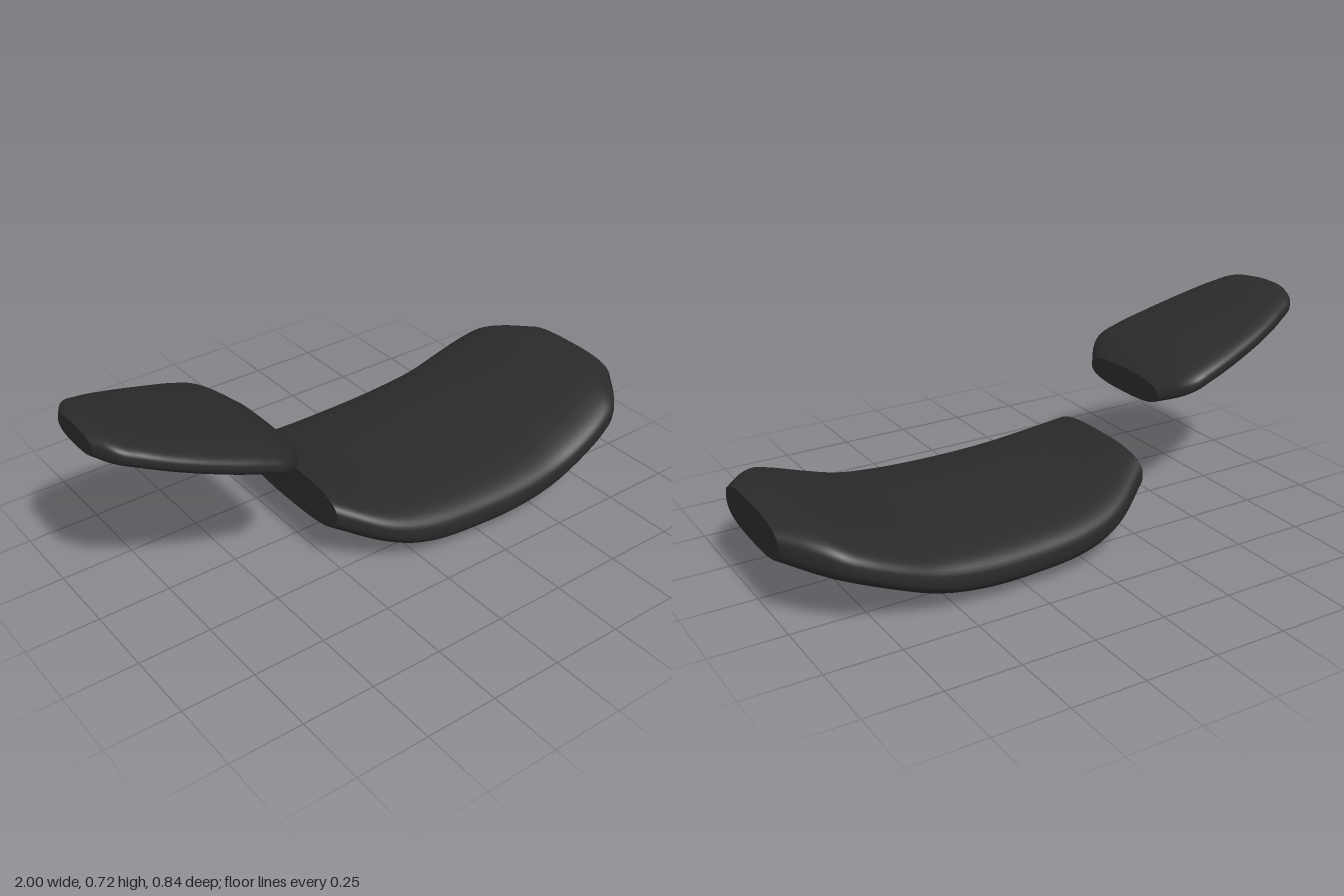
import * as THREE from 'three';

const SIDES = 72, STEPS = 56;

// Smooth pad lofted along x from stations [x, top, bottom, halfWidth]
function pad(stations, n) {
  const spline = new THREE.CubicInterpolant(
    stations.map(s => s[0]), stations.flatMap(s => s.slice(1)), 3, new Float32Array(3));
  const x0 = stations[0][0], x1 = stations[stations.length - 1][0];
  const power = v => Math.sign(v) * Math.abs(v) ** (2 / n);
  const pos = [], index = [];

  // Rounded cross-section at one x
  const ring = x => {
    const [top, bottom, width] = spline.evaluate(x);
    for (let j = 0; j < SIDES; j++) {
      const t = j / SIDES * Math.PI * 2;
      pos.push(x, (top + bottom) / 2 + power(Math.sin(t)) * (top - bottom) / 2, power(Math.cos(t)) * width);
    }
    return (top + bottom) / 2;
  };

  for (let i = 0; i <= STEPS; i++) {
    ring(x0 + (x1 - x0) * i / STEPS);
    if (i === STEPS) break;
    for (let j = 0; j < SIDES; j++) {
      const a = i * SIDES + j, c = i * SIDES + (j + 1) % SIDES;
      index.push(a, a + SIDES, c, a + SIDES, c + SIDES, c);
    }
  }

  // Flat end faces with their own vertices for crisp rims
  for (const [x, right] of [[x0, false], [x1, true]]) {
    const start = pos.length / 3;
    const y = ring(x), centre = start + SIDES;
    pos.push(x, y, 0);
    for (let j = 0; j < SIDES; j++) {
      const a = start + j, b = start + (j + 1) % SIDES;
      index.push(centre, right ? b : a, right ? a : b);
    }
  }

  const geometry = new THREE.BufferGeometry();
  geometry.setAttribute('position', new THREE.Float32BufferAttribute(pos, 3));
  geometry.setIndex(index);
  geometry.computeVertexNormals();
  return geometry;
}

export function createModel() {
  const group = new THREE.Group();
  const leather = new THREE.MeshStandardMaterial({ color: 0x2a2a2a });
  leather.name = 'black leather';

  const add = (name, geometry) => {
    const mesh = new THREE.Mesh(geometry, leather);
    mesh.name = name;
    group.add(mesh);
  };

  // Wide dished main seat
  add('mainSeat', pad([
    [-0.27, 0.29, 0.14, 0.26],
    [-0.13, 0.235, 0.07, 0.35],
    [0, 0.21, 0.023, 0.39],
    [0.25, 0.198, 0.003, 0.413],
    [0.43, 0.204, 0.01, 0.418],
    [0.57, 0.222, 0.036, 0.414],
    [0.7, 0.262, 0.085, 0.406],
    [0.8, 0.3, 0.125, 0.39],
    [0.87, 0.325, 0.152, 0.365],
    [0.92, 0.333, 0.17, 0.32],
    [1, 0.333, 0.2, 0.22],
  ], 2.8));

  // Small raised rear pad
  add('rearPad', pad([
    [-1, 0.722, 0.65, 0.105],
    [-0.965, 0.727, 0.635, 0.165],
    [-0.9, 0.71, 0.61, 0.203],
    [-0.8, 0.676, 0.572, 0.24],
    [-0.65, 0.628, 0.517, 0.274],
    [-0.53, 0.59, 0.477, 0.29],
    [-0.46, 0.563, 0.452, 0.288],
    [-0.42, 0.54, 0.436, 0.26],
    [-0.37, 0.503, 0.415, 0.195],
  ], 2.7));

  return group;
}
